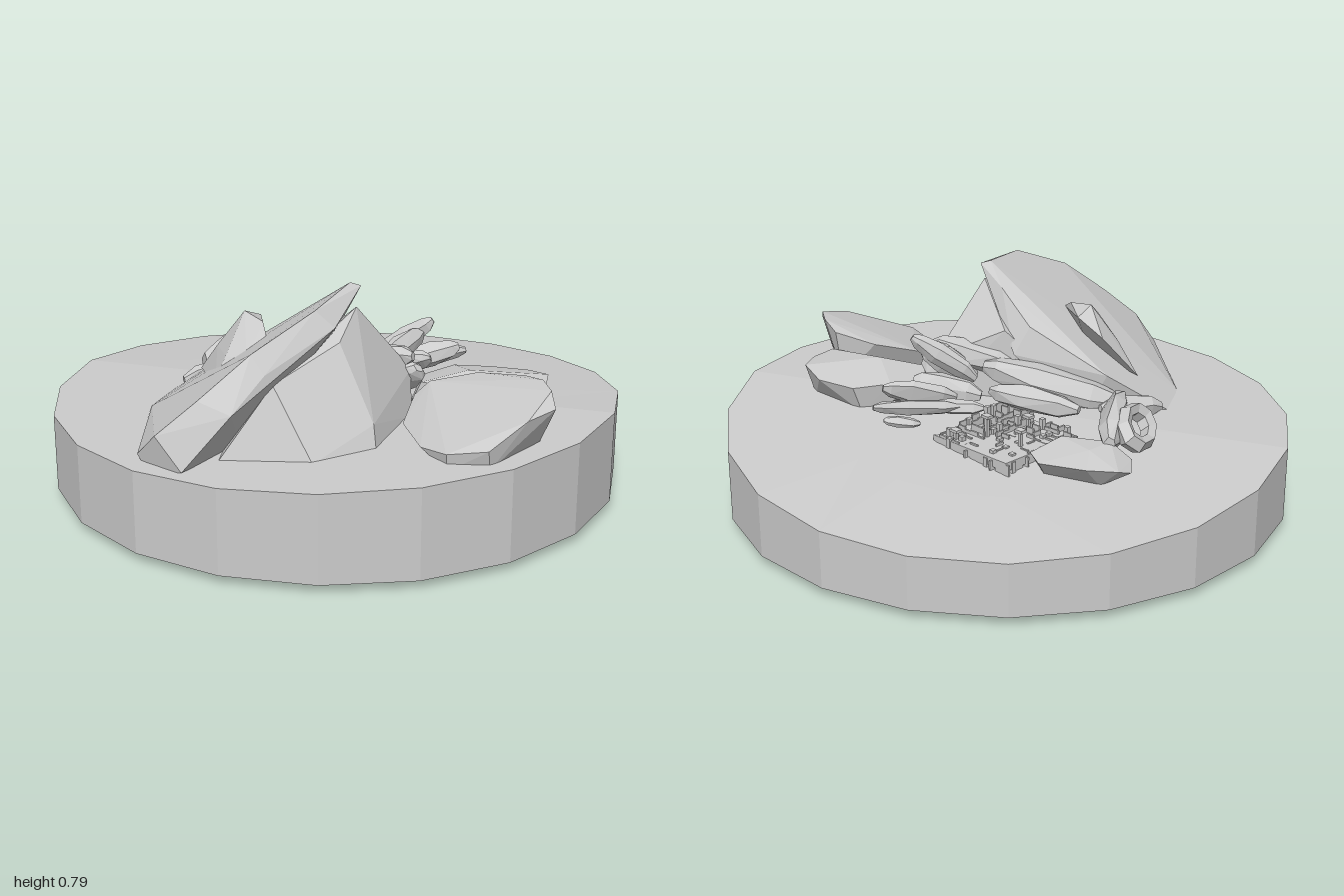
import * as THREE from 'three';
import { ConvexGeometry } from 'three/addons/geometries/ConvexGeometry.js';

const material = new THREE.MeshStandardMaterial({ color: 0xcccccc, flatShading: true, side: THREE.DoubleSide });

// Small seeded generator for repeatable variation
function seeded(seed) {
  return () => {
    seed = (seed * 16807) % 2147483647;
    return seed / 2147483647;
  };
}

// Height of the gently sloping ground
const groundY = (x, z) => 0.323 + 0.027 * x - (z < 0 ? 0.108 * Math.pow(-z, 1.1) : 0.003 * z * z);

function mesh(name, geometry) {
  const m = new THREE.Mesh(geometry, material);
  m.name = name;
  return m;
}

// Boulder as the hull of its corner points
function boulder(name, points) {
  return mesh(name, new ConvexGeometry(points.map((p) => new THREE.Vector3(...p))));
}

// Splinter stretched between two points, with slightly uneven facets
function shard(name, from, to, width, thick, seed = 7, roll = 0) {
  const rnd = seeded(seed * 97 + 13);
  const a = new THREE.Vector3(...from), b = new THREE.Vector3(...to);
  const len = a.distanceTo(b), pts = [];
  for (const [t, s] of [[-0.5, 0.35], [-0.3, 0.85], [0.12, 1], [0.4, 0.7], [0.5, 0.3]]) {
    for (let i = 0; i < 6; i++) {
      const ang = (i / 6) * Math.PI * 2 + rnd() * 0.5;
      const k = s * (0.85 + 0.15 * rnd());
      pts.push(new THREE.Vector3(Math.cos(ang) * k * width / 2, Math.sin(ang) * k * thick / 2, t * len));
    }
  }
  const m = mesh(name, new ConvexGeometry(pts));
  m.position.copy(a).add(b).multiplyScalar(0.5);
  m.lookAt(b);
  m.rotateZ(roll);
  return m;
}

// Twenty-sided disc with sloping top and slightly domed underside
function createBase() {
  const profile = [[0, 0], [1, 0.03], [1, 0.3], [0.62, 0.3], [0.3, 0.3], [0, 0.3]];
  const geo = new THREE.LatheGeometry(profile.map((p) => new THREE.Vector2(...p)), 20);
  const pos = geo.attributes.position;
  for (let i = 0; i < pos.count; i++) {
    if (pos.getY(i) > 0.2) pos.setY(i, groundY(pos.getX(i), pos.getZ(i)));
  }
  geo.computeVertexNormals();
  return mesh('base', geo);
}

// Large leaning slab, its supporting body and the knob lying on it
function createMainRock() {
  const g = new THREE.Group();
  g.name = 'mainRock';
  g.add(boulder('leaningSlab', [
    [-0.55, 0.3, 0.2], [-0.53, 0.31, 0.4], [-0.42, 0.31, 0.62], [-0.34, 0.33, 0.86],
    [-0.34, 0.45, 0.09], [-0.05, 0.6, 0.1], [0.08, 0.71, 0.18], [0.15, 0.785, 0.26],
    [0.13, 0.757, 0.52], [0.0, 0.66, 0.73], [-0.13, 0.53, 0.85], [-0.25, 0.42, 0.91],
    [0.185, 0.775, 0.25], [0.19, 0.7, 0.5], [0.05, 0.6, 0.74], [-0.01, 0.5, 0.86],
    [-0.15, 0.32, 0.93], [-0.3, 0.28, 0.87], [0.0, 0.5, 0.07], [-0.25, 0.28, 0.1], [-0.1, 0.3, 0.6],
  ]));
  g.add(boulder('supportingBody', [
    [0.35, 0.32, 0.2], [0.35, 0.32, 0.55], [0.2, 0.32, 0.72], [0.31, 0.45, 0.09],
    [0.18, 0.71, 0.28], [0.19, 0.64, 0.46], [0.05, 0.55, 0.68], [-0.1, 0.3, 0.8],
    [-0.3, 0.3, 0.1], [0.04, 0.58, 0.09], [0.3, 0.3, 0.07], [0.33, 0.4, 0.52],
  ]));
  g.add(boulder('restingKnob', [
    [-0.42, 0.41, 0.23], [-0.3, 0.56, 0.17], [-0.2, 0.62, 0.2], [-0.23, 0.65, 0.27],
    [-0.14, 0.635, 0.32], [-0.1, 0.6, 0.38], [-0.12, 0.56, 0.5], [-0.22, 0.49, 0.53],
    [-0.21, 0.55, 0.47], [-0.33, 0.52, 0.28], [-0.3, 0.45, 0.42], [-0.2, 0.45, 0.35],
  ]));
  return g;
}

// Two broad slabs to the left
function createSideSlabs() {
  const g = new THREE.Group();
  g.name = 'sideSlabs';
  g.add(boulder('frontSideSlab', [
    [0.36, 0.4, 0.2], [0.4, 0.44, 0.16], [0.55, 0.47, 0.1], [0.72, 0.49, 0.13],
    [0.8, 0.51, 0.21], [0.85, 0.508, 0.3], [0.88, 0.47, 0.36], [0.82, 0.46, 0.47],
    [0.73, 0.39, 0.59], [0.6, 0.37, 0.61], [0.49, 0.35, 0.53], [0.37, 0.35, 0.35],
    [0.82, 0.33, 0.33], [0.73, 0.32, 0.57], [0.6, 0.31, 0.6], [0.7, 0.31, 0.14], [0.36, 0.31, 0.24],
  ]));
  g.add(boulder('backSideSlab', [
    [0.3, 0.38, -0.06], [0.4, 0.41, -0.12], [0.52, 0.4, -0.18], [0.66, 0.41, -0.16],
    [0.75, 0.43, -0.08], [0.77, 0.42, 0.04], [0.74, 0.42, 0.14], [0.35, 0.41, 0.1],
    [0.5, 0.45, 0.03], [0.72, 0.31, -0.06], [0.72, 0.31, 0.14], [0.5, 0.3, -0.15], [0.3, 0.3, 0.1],
  ]));
  return g;
}

// Low stones to the right, one of them hollow
function createLowStones() {
  const g = new THREE.Group();
  g.name = 'lowStones';
  g.add(boulder('flatStone', [
    [-0.55, 0.31, -0.4], [-0.52, 0.33, -0.45], [-0.42, 0.335, -0.48], [-0.25, 0.325, -0.45],
    [-0.2, 0.33, -0.38], [-0.28, 0.36, -0.28], [-0.45, 0.36, -0.28], [-0.53, 0.32, -0.31],
    [-0.4, 0.36, -0.37], [-0.45, 0.26, -0.42], [-0.26, 0.26, -0.4], [-0.35, 0.27, -0.27],
  ]));
  const ring = mesh('hollowStone', new THREE.TorusGeometry(0.08, 0.032, 5, 8));
  ring.scale.set(1.35, 0.75, 1);
  ring.rotation.set(0, Math.PI / 2, -0.7, 'ZYX');
  ring.position.set(-0.5, 0.36, -0.13);
  g.add(ring);
  g.add(shard('hollowStoneBack', [-0.45, 0.36, -0.3], [-0.38, 0.36, 0.12], 0.12, 0.16, 3));
  g.add(shard('edgeStone', [-0.52, 0.33, 0.17], [-0.34, 0.36, 0.0], 0.09, 0.1, 5));
  return g;
}

// Splinters heaped behind the leaning slab
function createShards() {
  const g = new THREE.Group();
  g.name = 'shardHeap';
  const list = [
    [[-0.4, 0.37, 0.06], [0.1, 0.46, 0.03], 0.17, 0.14],
    [[-0.28, 0.37, -0.06], [0.06, 0.39, -0.02], 0.1, 0.1],
    [[0.0, 0.45, 0.08], [0.32, 0.5, 0.1], 0.12, 0.12],
    [[0.12, 0.37, -0.16], [0.38, 0.4, -0.33], 0.08, 0.06],
    [[0.16, 0.38, -0.1], [0.38, 0.44, -0.24], 0.1, 0.07],
    [[0.12, 0.42, 0.0], [0.33, 0.58, -0.08], 0.09, 0.06],
    [[0.15, 0.4, 0.08], [0.3, 0.54, -0.06], 0.12, 0.07],
    [[0.08, 0.38, -0.06], [0.32, 0.43, -0.1], 0.11, 0.08],
    [[0.2, 0.36, 0.04], [0.34, 0.46, 0.1], 0.14, 0.1],
    [[0.05, 0.36, -0.12], [0.22, 0.38, -0.2], 0.07, 0.05],
    [[0.22, 0.35, -0.3], [0.33, 0.37, -0.36], 0.06, 0.04],
  ];
  list.forEach(([a, b, w, t], i) => g.add(shard('shard' + (i + 1), a, b, w, t, i + 2, i * 0.3)));
  return g;
}

// Broken lattice of little walls and blocks on a turned square plot
function createRuins() {
  const g = new THREE.Group();
  g.name = 'ruins';
  const rnd = seeded(4211);
  const n = 12, step = 0.03;
  const box = new THREE.BoxGeometry(1, 1, 1);
  const add = (name, u, v, w, h, d, lift = 0) => {
    const m = mesh(name, box);
    m.scale.set(w, h, d);
    const c = Math.cos(0.47), s = Math.sin(0.47);
    const x = -0.07 + u * c - v * s, z = -0.24 + u * s + v * c;
    m.position.set(x, groundY(x, z) + h / 2 + lift, z);
    m.rotation.y = -0.47;
    g.add(m);
  };
  add('plot', 0, 0, 0.34, 0.03, 0.34, -0.01);
  for (let i = 0; i < n; i++) {
    for (let j = 0; j < n; j++) {
      const u = (i - (n - 1) / 2) * step, v = (j - (n - 1) / 2) * step;
      const r = rnd(), h = 0.018 + 0.022 * rnd();
      if (r < 0.36) add('wallAcross', u, v, step * 1.1, h, 0.007);
      else if (r < 0.72) add('wallAlong', u, v, 0.007, h, step * 1.1);
      else if (r < 0.86) add('block', u, v, 0.018, h + 0.012, 0.018);
    }
  }
  // A few taller stubs with caps
  for (const [u, v, h] of [[-0.1, -0.03, 0.08], [0.04, -0.05, 0.09], [0.1, -0.14, 0.05], [-0.02, 0.09, 0.06]]) {
    add('stub', u, v, 0.012, h, 0.012);
    add('stubCap', u, v, 0.034, 0.01, 0.026, h);
  }
  return g;
}

export function createModel() {
  const model = new THREE.Group();
  model.name = 'rockyOutcrop';
  model.add(createBase(), createMainRock(), createSideSlabs(), createLowStones(), createShards(), createRuins());
  return model;
}
